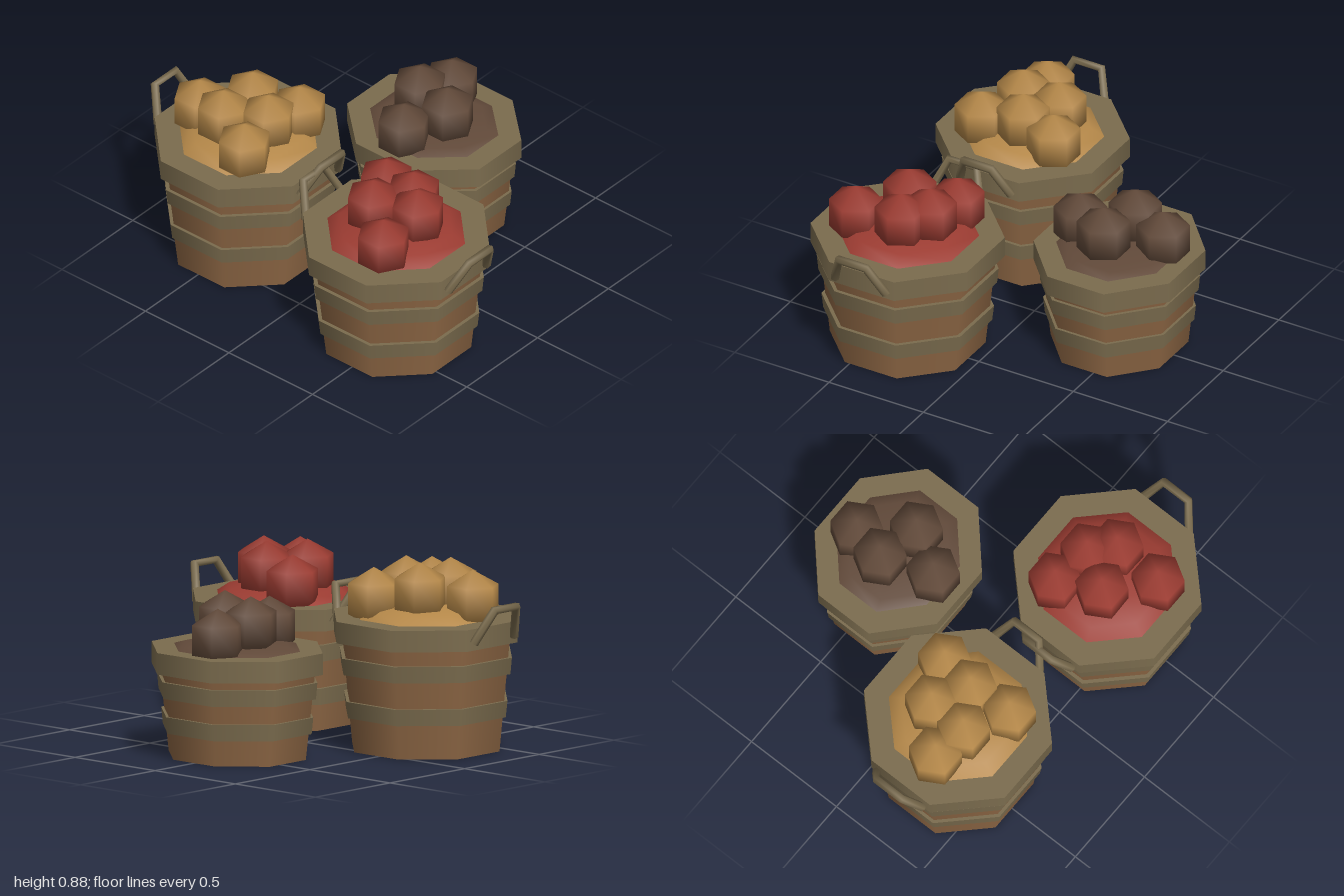
import * as THREE from 'three';

const SIDES = 8;
const TO_CORNER = 1 / Math.cos(Math.PI / SIDES); // flat-to-flat half width -> corner radius

const mat = (color) => new THREE.MeshStandardMaterial({ color, roughness: 1 });
const wood = mat(0x8b6543);
const trim = mat(0x7b6c4e);
const handleMat = mat(0x7b6c4e);
handleMat.side = THREE.DoubleSide;

function add(parent, name, geometry, material) {
  const mesh = new THREE.Mesh(geometry, material);
  mesh.name = name;
  parent.add(mesh);
  return mesh;
}

// Eight-sided tapered drum with its flats facing the axes
function drum(parent, name, top, bottom, y0, y1, material) {
  const g = new THREE.CylinderGeometry(top * TO_CORNER, bottom * TO_CORNER, y1 - y0, SIDES);
  g.rotateY(Math.PI / SIDES);
  g.translate(0, (y0 + y1) / 2, 0);
  return add(parent, name, g, material);
}

// Straight-sided path so that the handle keeps its sharp bends
class Polyline extends THREE.Curve {
  constructor(points) {
    super();
    this.points = points;
  }
  getPoint(t, target = new THREE.Vector3()) {
    const n = this.points.length - 1;
    const i = Math.min(Math.floor(t * n + 1e-9), n - 1);
    return target.lerpVectors(this.points[i], this.points[i + 1], t * n - i);
  }
  getPointAt(t, target) { return this.getPoint(t, target); }
  getTangentAt(t, target) { return this.getTangent(t, target); }
}

function addHandle(parent, name, side, rimTop) {
  const path = [[0.425, -0.065, 0.135], [0.497, 0.09, 0.072], [0.497, 0.09, -0.072], [0.425, -0.065, -0.135]]
    .map(([x, y, z]) => new THREE.Vector3(side * x, rimTop + y, z));
  add(parent, name, new THREE.TubeGeometry(new Polyline(path), 3, 0.021, 6), handleMat);
}

function createBasket({ name, x, z, top, bands, sx = 1, sz = 1, handles, heap, color, fruits }) {
  const basket = new THREE.Group();
  basket.name = name;
  basket.position.set(x, 0, z);

  // Wooden tub with its bands and rim
  const tub = new THREE.Group();
  tub.name = 'tub';
  tub.scale.set(sx, 1, sz);
  basket.add(tub);
  drum(tub, 'body', 0.382, 0.332, 0, top - 0.05, wood);
  drum(tub, 'lowerBand', 0.368, 0.36, bands[0], bands[0] + 0.077, trim);
  drum(tub, 'upperBand', 0.388, 0.381, bands[1], bands[1] + 0.077, trim);
  drum(tub, 'rim', 0.414, 0.414, top - 0.1, top, trim);

  // Domed heap filling the tub
  const profile = [[0.34, -0.02], [0.33, 0], [0.27, 0.04], [0.14, 0.068], [0, 0.075]]
    .map(([r, y]) => new THREE.Vector2(r, y > 0 ? y * heap : y));
  const dome = new THREE.LatheGeometry(profile, SIDES);
  dome.rotateY(Math.PI / SIDES);
  dome.translate(0, top, 0);
  const fill = mat(color);
  add(tub, 'heap', dome, fill);

  if (handles) {
    addHandle(basket, 'leftHandle', 1, top);
    addHandle(basket, 'rightHandle', -1, top);
  }

  // Faceted fruit piled on the heap
  const fruitGeometry = new THREE.SphereGeometry(0.142, 6, 3);
  for (const [fx, fy, fz] of fruits) {
    add(basket, 'fruit', fruitGeometry, fill).position.set(fx - x, fy, fz - z);
  }
  return basket;
}

export function createModel() {
  const model = new THREE.Group();
  model.name = 'fruitBaskets';

  model.add(createBasket({
    name: 'yellowFruitBasket', x: -0.483, z: 0.295, top: 0.612, bands: [0.16, 0.362],
    handles: true, heap: 1, color: 0xb58849,
    fruits: [[-0.34, 0.70, 0.1], [-0.545, 0.735, 0.19], [-0.375, 0.735, 0.28],
      [-0.72, 0.70, 0.355], [-0.555, 0.735, 0.385], [-0.345, 0.70, 0.485]],
  }));

  model.add(createBasket({
    name: 'redFruitBasket', x: 0.483, z: 0.388, top: 0.576, bands: [0.125, 0.33],
    handles: true, heap: 1, color: 0x9c3c32,
    fruits: [[0.293, 0.662, 0.235], [0.485, 0.698, 0.268], [0.588, 0.698, 0.36],
      [0.385, 0.698, 0.435], [0.587, 0.662, 0.602]],
  }));

  model.add(createBasket({
    name: 'brownFruitBasket', x: 0, z: -0.45, top: 0.5, bands: [0.122, 0.285],
    sx: 0.955, sz: 0.868, handles: false, heap: 0.4, color: 0x624a3a,
    fruits: [[-0.06, 0.57, -0.645], [-0.105, 0.61, -0.472], [0.1, 0.608, -0.425], [-0.005, 0.57, -0.24]],
  }));

  return model;
}
